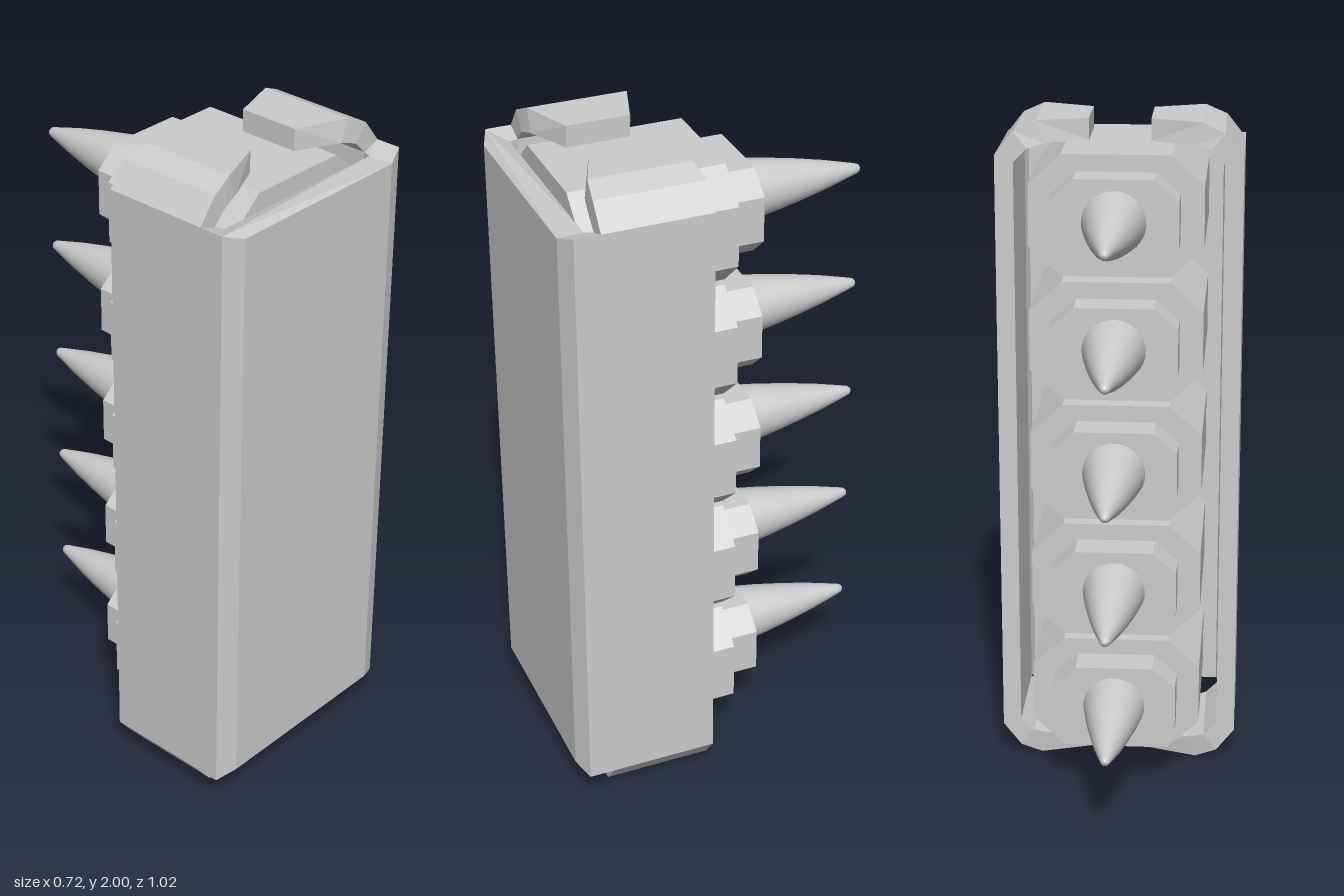
import * as THREE from 'three';

const flatMat = new THREE.MeshStandardMaterial({ color: 0xcccccc, flatShading: true });
const smoothMat = new THREE.MeshStandardMaterial({ color: 0xcccccc });

function addMesh(parent, name, geometry, material = flatMat) {
  const mesh = new THREE.Mesh(geometry, material);
  mesh.name = name;
  parent.add(mesh);
  return mesh;
}

// Joins four-cornered sections into a closed solid
function loft(rings, flip) {
  const pos = [];
  const tri = (a, b, c) => pos.push(...a, ...(flip ? c : b), ...(flip ? b : c));
  const quad = (a, b, c, d) => { tri(a, b, c); tri(a, c, d); };
  for (let i = 0; i < rings.length - 1; i++) {
    for (let k = 0; k < 4; k++) {
      const n = (k + 1) % 4;
      quad(rings[i][k], rings[i][n], rings[i + 1][n], rings[i + 1][k]);
    }
  }
  quad(...rings[0].slice().reverse());
  quad(...rings[rings.length - 1]);
  const g = new THREE.BufferGeometry();
  g.setAttribute('position', new THREE.Float32BufferAttribute(pos, 3));
  g.computeVertexNormals();
  return g;
}

// Side wall curling into tapered lips at the top and bottom
function sideWall(s) {
  // outer x, outer y, inner x, inner y, back z, front z
  const top = [
    [0.09, 2.0, 0.09, 1.935, 0.155, 0.34],
    [0.24, 2.0, 0.215, 1.935, 0.105, 0.4],
    [0.305, 1.97, 0.265, 1.92, 0.09, 0.41],
    [0.36, 1.9, 0.305, 1.88, 0.09, 0.41],
  ];
  const bottom = top.map(([a, b, c, d, e, f]) => [a, 2 - b, c, 2 - d, e, f]).reverse();
  const rings = [...top, ...bottom].map(([ox, oy, ix, iy, zb, zf]) => [
    [s * ox, oy, zb], [s * ox, oy, zf], [s * ix, iy, zf], [s * ix, iy, zb],
  ]);
  return loft(rings, s < 0);
}

// Shallow U-shaped front plate with chamfered outer corners
function frontPlate() {
  const half = [[0.3, 0.51], [0.36, 0.485], [0.36, 0.41], [0.305, 0.41], [0.295, 0.435]];
  const outline = [...half, ...half.map(([x, z]) => [-x, z]).reverse()];
  const shape = new THREE.Shape(outline.map(([x, z]) => new THREE.Vector2(x, -z)));
  const g = new THREE.ExtrudeGeometry(shape, { depth: 1, bevelEnabled: false });
  g.rotateX(-Math.PI / 2);
  // ends rise slightly toward the outer edges
  const p = g.attributes.position;
  for (let i = 0; i < p.count; i++) {
    const y = Math.abs(p.getX(i)) > 0.33 ? 1.9 : 1.88;
    p.setY(i, p.getY(i) > 0.5 ? y : 2 - y);
  }
  g.computeVertexNormals();
  return g;
}

// Eight-sided block running along z
function octBlock(w, flatW, h, flatH, zBack, zFront) {
  const pts = [
    [flatW, h], [w, flatH], [w, -flatH], [flatW, -h],
    [-flatW, -h], [-w, -flatH], [-w, flatH], [-flatW, h],
  ].map(([x, y]) => new THREE.Vector2(x, y));
  const g = new THREE.ExtrudeGeometry(new THREE.Shape(pts), { depth: zFront - zBack, bevelEnabled: false });
  return g.translate(0, 0, zBack);
}

// Pointed tip, slightly bulged, with a small rounded end
function tipGeometry() {
  const profile = [
    [0, 0], [0.092, 0], [0.078, 0.09], [0.061, 0.18], [0.041, 0.27],
    [0.017, 0.36], [0.013, 0.373], [0.007, 0.379], [0, 0.381],
  ].map(([r, l]) => new THREE.Vector2(r, l));
  const g = new THREE.LatheGeometry(profile.slice(1), 32);
  return g.rotateX(-Math.PI / 2).translate(0, 0.004, -0.129);
}

export function createModel() {
  const model = new THREE.Group();
  model.name = 'spikeCartridgeClip';

  // Casing
  const casing = new THREE.Group();
  casing.name = 'casing';
  model.add(casing);
  addMesh(casing, 'frontPlate', frontPlate());
  addMesh(casing, 'leftWall', sideWall(1));
  addMesh(casing, 'rightWall', sideWall(-1));

  // Stack of five rounds
  const base = octBlock(0.252, 0.157, 0.177, 0.09, -0.025, 0.43);
  const neck = octBlock(0.184, 0.115, 0.128, 0.067, -0.13, -0.025);
  const tip = tipGeometry();
  for (let i = 0; i < 5; i++) {
    const round = new THREE.Group();
    round.name = `round${i + 1}`;
    round.position.y = 0.269 + i * 0.371;
    addMesh(round, 'roundBase', base);
    addMesh(round, 'roundNeck', neck);
    addMesh(round, 'roundTip', tip, smoothMat);
    model.add(round);
  }
  return model;
}
